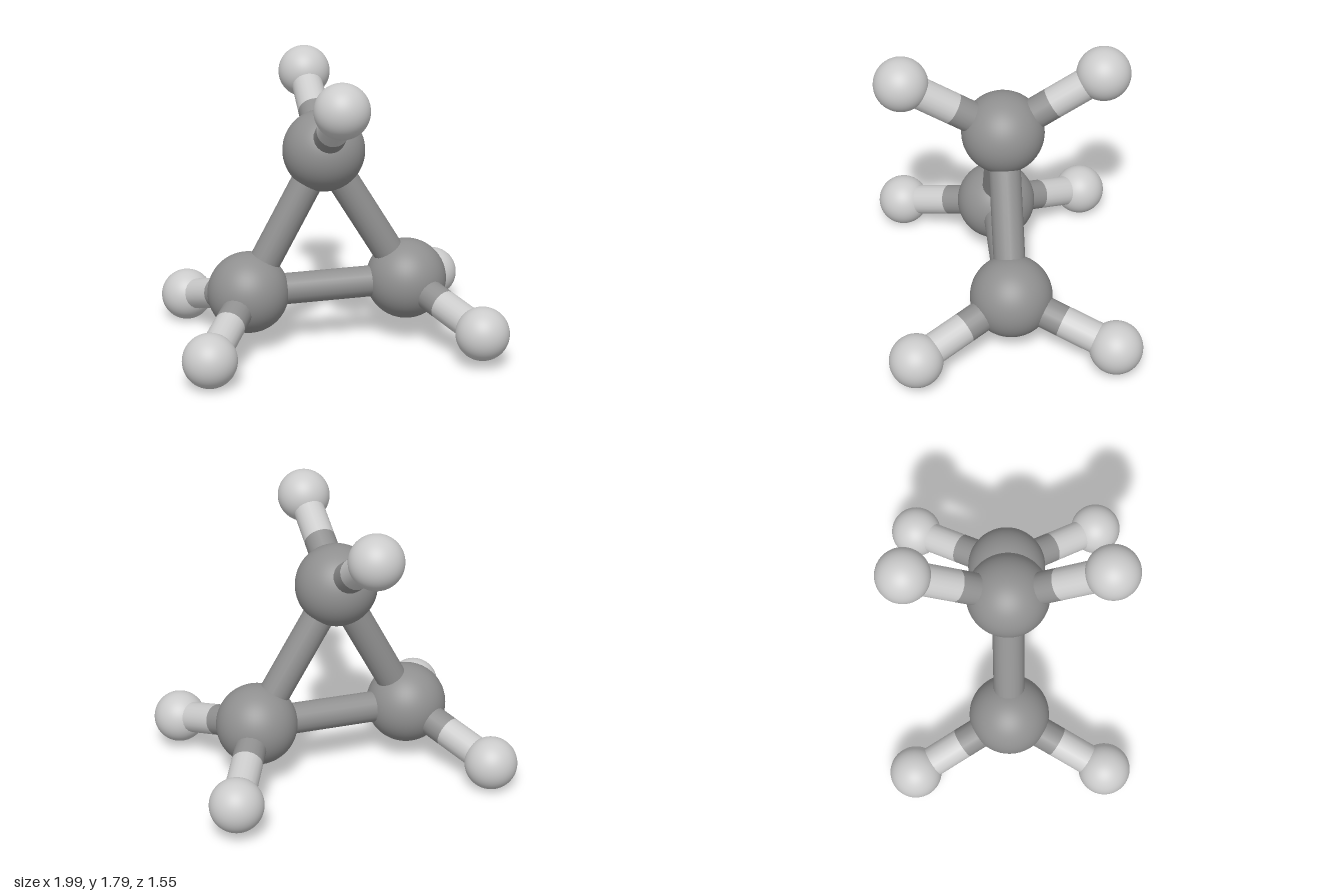
import * as THREE from 'three';

const dark = new THREE.MeshStandardMaterial({ color: 0x909090 });
const light = new THREE.MeshStandardMaterial({ color: 0xcccccc });
const UP = new THREE.Vector3(0, 1, 0);

function ball(name, center, radius, material) {
  const mesh = new THREE.Mesh(new THREE.SphereGeometry(radius, 48, 32), material);
  mesh.name = name;
  mesh.position.copy(center);
  return mesh;
}

// Round rod running from a to b
function rod(name, a, b, material) {
  const axis = b.clone().sub(a);
  const mesh = new THREE.Mesh(new THREE.CylinderGeometry(0.098, 0.098, axis.length(), 20), material);
  mesh.name = name;
  mesh.position.copy(a).add(b).multiplyScalar(0.5);
  mesh.quaternion.setFromUnitVectors(UP, axis.normalize());
  return mesh;
}

export function createModel() {
  const group = new THREE.Group();
  group.name = 'ringMolecule';

  // Slightly tilted equilateral ring: each corner carries two outer atoms
  const middle = new THREE.Vector3(-0.017, 0.682, 0);
  const ringRadius = 0.584, outerRadius = 0.961, outerDepth = 0.608, tilt = 0.0285;
  const corners = [], directions = [];
  for (let i = 0; i < 3; i++) {
    const angle = Math.PI / 2 + tilt + (i * Math.PI * 2) / 3;
    const dir = new THREE.Vector3(Math.cos(angle), Math.sin(angle), 0);
    directions.push(dir);
    corners.push(middle.clone().addScaledVector(dir, ringRadius));
  }

  corners.forEach((corner, i) => {
    group.add(ball('ringAtom', corner, 0.255, dark));
    group.add(rod('ringBond', corner, corners[(i + 1) % 3], dark));

    // Front and back outer atoms on two-tone bonds
    for (const side of [1, -1]) {
      const outer = middle.clone().addScaledVector(directions[i], outerRadius);
      outer.z = side * outerDepth;
      const split = corner.clone().lerp(outer, 0.5);
      group.add(rod('outerBondInnerHalf', corner, split, dark));
      group.add(rod('outerBondOuterHalf', split, outer, light));
      group.add(ball('outerAtom', outer, 0.165, light));
    }
  });

  return group;
}
